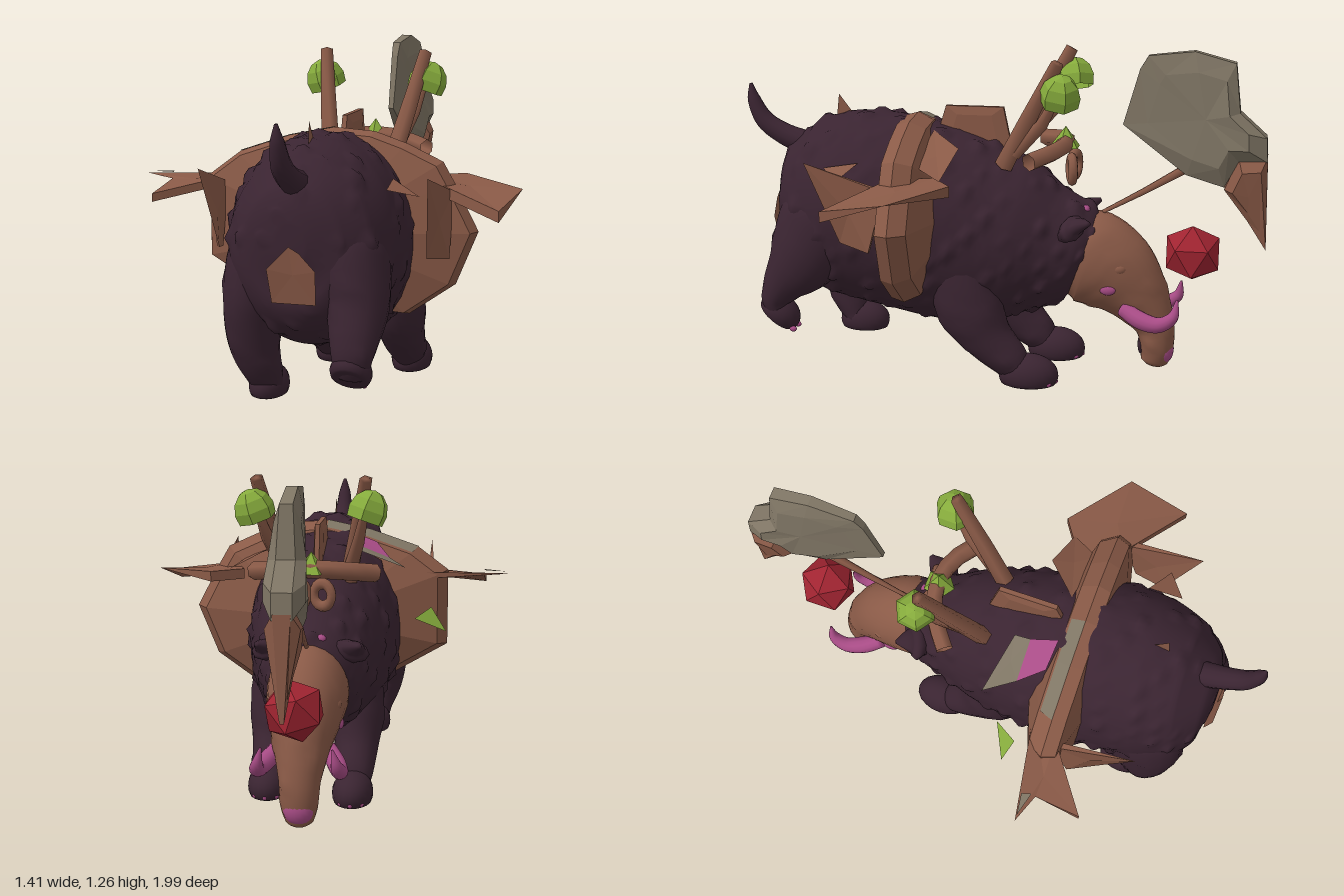
import * as THREE from 'three';

const V = (x, y, z) => new THREE.Vector3(x, y, z);
const CX = 0.02; // mid plane of the animal

export function createModel() {
  const group = new THREE.Group();
  const mat = (name, color) => {
    const m = new THREE.MeshStandardMaterial({ color, side: THREE.DoubleSide });
    m.name = name;
    return m;
  };
  const hide = mat('dark hide', 0x3a2431), brown = mat('brown', 0x8a5a47), grey = mat('stone grey', 0x807665);
  const green = mat('leaf green', 0x86ab3c), red = mat('red', 0xa02431), pink = mat('pink', 0xa84c86);

  const add = (name, geometry, material, pos = [0, 0, 0], scale = [1, 1, 1], rot = [0, 0, 0]) => {
    const m = new THREE.Mesh(geometry, material);
    m.name = name;
    m.position.set(...pos);
    m.scale.set(...scale);
    m.rotation.set(...rot);
    group.add(m);
    return m;
  };

  // Smooth body part swept through stations [x, y, z, halfWidth, halfHeight]
  const loft = (name, st, material, { steps = 24, sides = 20, bump = 0 } = {}) => {
    const path = new THREE.CatmullRomCurve3(st.map(s => V(s[0], s[1], s[2])));
    const radii = new THREE.CatmullRomCurve3(st.map(s => V(s[3], s[4] ?? s[3], 0)));
    const pos = [], idx = [];
    for (let i = 0; i <= steps; i++) {
      const p = path.getPoint(i / steps), T = path.getTangent(i / steps), r = radii.getPoint(i / steps);
      const X = V(1, 0, 0).addScaledVector(T, -T.x).normalize(), N = T.clone().cross(X);
      for (let j = 0; j < sides; j++) {
        const a = j / sides * Math.PI * 2;
        const q = p.clone().addScaledVector(X, Math.cos(a) * Math.max(r.x, 0.002))
          .addScaledVector(N, Math.sin(a) * Math.max(r.y, 0.002));
        // scattered warts: only the peaks of the pattern rise
        const n = Math.sin(q.x * 37 + q.y * 11) * Math.sin(q.y * 41 - q.z * 9) * Math.sin(q.z * 43 + q.x * 13);
        q.addScaledVector(q.clone().sub(p).normalize(), bump * Math.max(0, n - 0.25));
        pos.push(q.x, q.y, q.z);
        if (i < steps) {
          const k = i * sides + j, l = i * sides + (j + 1) % sides;
          idx.push(k, l, k + sides, l, l + sides, k + sides);
        }
      }
    }
    const s = path.getPoint(0), e = path.getPoint(1), c = pos.length / 3;
    pos.push(s.x, s.y, s.z, e.x, e.y, e.z);
    for (let j = 0; j < sides; j++) {
      const l = (j + 1) % sides, o = steps * sides;
      idx.push(c, l, j, c + 1, o + j, o + l);
    }
    const g = new THREE.BufferGeometry();
    g.setAttribute('position', new THREE.Float32BufferAttribute(pos, 3));
    g.setIndex(idx);
    g.computeVertexNormals();
    return add(name, g, material);
  };

  // Faceted solid through rings of corners, closed by fans around the ring centres
  const facet = (name, rings, material) => {
    const pts = [], tri = (...v) => v.forEach(q => pts.push(q.x, q.y, q.z)), n = rings[0].length;
    const centre = r => r.reduce((s, p) => s.add(p), V(0, 0, 0)).divideScalar(n);
    const first = rings[0], last = rings[rings.length - 1], c0 = centre(first), c1 = centre(last);
    for (let j = 0; j < n; j++) {
      const k = (j + 1) % n;
      for (let i = 0; i < rings.length - 1; i++) {
        const A = rings[i], B = rings[i + 1];
        tri(A[j], A[k], B[j]);
        tri(A[k], B[k], B[j]);
      }
      tri(c0, first[k], first[j]);
      if (rings.length > 1) tri(c1, last[j], last[k]);
    }
    const g = new THREE.BufferGeometry();
    g.setAttribute('position', new THREE.Float32BufferAttribute(pts, 3));
    g.computeVertexNormals();
    return add(name, g, material);
  };
  const plate = (name, pts, material) => facet(name, [pts.map(p => V(...p))], material);

  // Upright blade: outline of [z, y, half thickness], thinning to its rim
  const blade = (name, outline, inner, material) => {
    const cz = outline.reduce((s, p) => s + p[0], 0) / outline.length;
    const cy = outline.reduce((s, p) => s + p[1], 0) / outline.length;
    const ring = (f, k) => outline.map(([z, y, t]) => V(CX + 0.005 + t * f, cy + (y - cy) * k, cz + (z - cz) * k));
    return facet(name, [ring(-1, inner), ring(-0.5, 1), ring(0.5, 1), ring(1, inner)], material);
  };
  const ball = (name, p, s, material) => add(name, new THREE.SphereGeometry(1, 18, 12), material, p, s);

  // Rounded foot with a flat sole
  const foot = (name, p, s, pitch = 0) => {
    const g = new THREE.SphereGeometry(1, 20, 14), a = g.attributes.position;
    for (let i = 0; i < a.count; i++) a.setY(i, Math.max(a.getY(i), -0.5));
    g.computeVertexNormals();
    add(name, g, hide, p, s, [pitch, 0, 0]);
  };

  // Body
  loft('body', [
    [0.02, 0.67, 0.865, 0.05, 0.07], [0.02, 0.67, 0.835, 0.17, 0.2], [0.02, 0.66, 0.76, 0.25, 0.3],
    [0.022, 0.64, 0.62, 0.3, 0.36], [0.025, 0.62, 0.45, 0.31, 0.375], [0.02, 0.575, 0.25, 0.3, 0.375],
    [0.02, 0.54, 0.1, 0.28, 0.36], [0.02, 0.52, -0.05, 0.25, 0.32], [0.02, 0.5, -0.17, 0.205, 0.25],
    [0.02, 0.485, -0.28, 0.17, 0.195], [0.02, 0.47, -0.33, 0.13, 0.15],
  ], hide, { steps: 90, sides: 80, bump: 0.028 });
  loft('tail', [[CX, 0.86, 0.77, 0.05], [CX, 0.9, 0.87, 0.042], [CX, 0.95, 0.94, 0.036],
    [CX, 1.03, 0.98, 0.025], [CX, 1.09, 0.99, 0.006]], hide, { sides: 12 });
  plate('rumpPatch', [[0.025, 0.67, 0.889], [-0.055, 0.59, 0.884], [-0.045, 0.47, 0.86],
    [0.11, 0.47, 0.86], [0.115, 0.59, 0.884], [0.06, 0.65, 0.888]], brown);

  // Front legs: both feet planted, the right one further forward
  for (const [x, z] of [[0.2, 0.06], [-0.13, 0]]) {
    loft('frontLeg', [[x * 0.8, 0.54, z + 0.1, 0.03, 0.05], [x * 0.95, 0.46, z + 0.08, 0.095, 0.13], [x, 0.3, z + 0.04, 0.1, 0.13],
      [x, 0.18, z - 0.03, 0.085, 0.095], [x, 0.09, z - 0.12, 0.07, 0.07], [x, 0.05, z - 0.16, 0.055, 0.045]], hide, { bump: 0.01 });
    foot('frontFoot', [x, 0.04, z - 0.185], [0.078, 0.08, 0.115]);
    for (const d of [-0.04, 0, 0.04]) ball('frontClaw', [x + d, 0.018, z - 0.285 + Math.abs(d) * 0.5], [0.01, 0.011, 0.014], pink);
  }

  // Hind legs in stride
  loft('hindLegLeft', [[0.12, 0.72, 0.62, 0.04, 0.05], [0.17, 0.6, 0.67, 0.14, 0.17], [0.22, 0.45, 0.745, 0.11, 0.135],
    [0.23, 0.35, 0.82, 0.085, 0.08], [0.23, 0.29, 0.845, 0.07, 0.055], [0.225, 0.23, 0.83, 0.055, 0.04]], hide, { bump: 0.01 });
  foot('hindFootLeft', [0.225, 0.245, 0.835], [0.072, 0.06, 0.085], -0.7);
  for (const d of [-0.03, 0.03]) ball('hindClaw', [0.225 + d, 0.185, 0.778], [0.01, 0.011, 0.014], pink);
  loft('hindLegRight', [[-0.08, 0.7, 0.6, 0.04, 0.05], [-0.13, 0.58, 0.63, 0.14, 0.18], [-0.17, 0.4, 0.67, 0.11, 0.14],
    [-0.17, 0.27, 0.68, 0.09, 0.085], [-0.15, 0.17, 0.65, 0.07, 0.065], [-0.145, 0.11, 0.62, 0.06, 0.04]], hide, { bump: 0.01 });
  foot('hindFootRight', [-0.145, 0.11, 0.6], [0.07, 0.075, 0.1]);

  // Head with drooping trunk
  loft('head', [[CX, 0.48, -0.25, 0.13, 0.15], [CX, 0.46, -0.34, 0.15, 0.185], [CX, 0.4, -0.44, 0.135, 0.165],
    [CX, 0.3, -0.53, 0.1, 0.115], [CX, 0.2, -0.585, 0.075, 0.075], [CX, 0.11, -0.595, 0.066, 0.062], [CX, 0.06, -0.588, 0.05, 0.05],
    [CX, 0.045, -0.585, 0.03, 0.03]], brown, { steps: 35, sides: 28, bump: 0.008 });
  ball('snoutTip', [CX, 0.108, -0.618], [0.056, 0.058, 0.042], pink);
  ball('snoutUnderside', [CX, 0.125, -0.533], [0.027, 0.04, 0.012], hide);
  for (const s of [-1, 1]) {
    const x = d => CX + s * d;
    loft('tusk', [[x(0.09), 0.29, -0.47, 0.03], [x(0.125), 0.258, -0.54, 0.034], [x(0.145), 0.25, -0.61, 0.03],
      [x(0.14), 0.28, -0.66, 0.022], [x(0.125), 0.345, -0.675, 0.004]], pink, { sides: 12 });
    ball('cheek', [x(0.127), 0.37, -0.415], [0.013, 0.02, 0.03], pink);
    ball('eye', [x(0.112), 0.45, -0.45], [0.024, 0.025, 0.035], brown);
    loft('ear', [[x(0.13), 0.58, -0.25, 0.05, 0.03], [x(0.16), 0.62, -0.3, 0.05, 0.03], [x(0.19), 0.64, -0.35, 0.008]], hide, { sides: 10 });
    ball('crownBead', [x(0.045), 0.658, -0.32], [0.02, 0.016, 0.016], pink);
  }

  // Wide saddle band standing off the flanks
  const outline = [[-0.46, 0.81], [-0.34, 0.9], [-0.15, 0.965], [0.02, 1], [0.17, 0.99], [0.29, 0.95], [0.42, 0.89], [0.46, 0.82],
    [0.55, 0.645], [0.47, 0.45], [0.3, 0.33], [-0.22, 0.37], [-0.46, 0.51]];
  const bandRing = (z, k) => outline.map(([x, y]) => V(0.03 + (x - 0.03) * k, 0.64 + (y - 0.64) * k, z));
  facet('saddleBand', [bandRing(0.21, 0.55), bandRing(0.27, 0.92), bandRing(0.33, 1), bandRing(0.38, 0.96), bandRing(0.43, 0.55)], brown);
  const streakLow = bandRing(0.278, 0.942), streakHigh = bandRing(0.33, 1.007);
  for (const i of [1, 2])
    facet('saddleStreak', [[streakLow[i], streakLow[i + 1], streakHigh[i + 1], streakHigh[i]]], grey);

  // Side wings, rear-pointing shards and loose plates
  facet('wingLeft', [0.82, 0.78].map(y => [V(0.34, y, 0.2), V(0.46, y, 0.12), V(0.7, 0.8, 0.3), V(0.66, y - 0.06, 0.54), V(0.4, y, 0.36)]), brown);
  facet('wingRight', [0.81, 0.78].map(y => [V(-0.3, y, 0.25), V(-0.71, 0.8, 0.32), V(-0.6, 0.79, 0.36), V(-0.61, y - 0.05, 0.53), V(-0.38, y, 0.36)]), brown);
  plate('wingTip', [[-0.69, 0.808, 0.32], [-0.61, 0.812, 0.31], [-0.6, 0.812, 0.345]], grey);
  for (const [x, s] of [[0.44, 1], [-0.38, -1]])
    facet('sideShard', [0, 0.025].map(d => [V(x, 0.88, 0.66), V(x + s * d, 0.79, 0.36), V(x + s * d, 0.56, 0.42), V(x - s * 0.03, 0.58, 0.54)]), brown);
  plate('shoulderPlate', [[0.11, 0.95, 0.25], [0.24, 0.91, 0.13], [0.4, 0.82, 0.17], [0.33, 0.86, 0.28]], brown);
  plate('hipShard', [[0.28, 0.85, 0.5], [0.39, 0.8, 0.56], [0.29, 0.83, 0.63]], brown);
  plate('backThorn', [[CX, 1.06, 0.64], [CX, 0.97, 0.65], [CX, 0.98, 0.58]], brown);
  plate('greyPatch', [[-0.31, 0.86, 0.05], [-0.09, 0.93, 0.1], [-0.09, 0.94, 0.16], [-0.24, 0.88, 0.16]], grey);
  plate('pinkPatch', [[-0.24, 0.88, 0.16], [-0.09, 0.94, 0.16], [-0.07, 0.97, 0.26], [-0.18, 0.93, 0.25]], pink);
  plate('looseLeaf', [[-0.46, 0.59, 0.18], [-0.34, 0.65, 0.12], [-0.4, 0.68, 0.21]], green);
  blade('backFin', [[0.22, 1.03, 0.018], [0, 1.03, 0.018], [-0.04, 0.84, 0.018], [0.26, 0.9, 0.018]], 0.6, brown);

  // Branches with leaf clumps and a crossbar
  for (const s of [-1, 1]) {
    const x = d => CX + s * d;
    loft('branch', [[x(0.12), 0.83, -0.02, 0.036], [x(0.16), 1.02, -0.12, 0.032], [x(0.2), 1.23, -0.23, 0.025]], brown, { sides: 5, steps: 2 });
    loft('sideBranch', [[x(0.13), 0.88, -0.06, 0.028], [x(0.17), 1.0, -0.17, 0.024], [x(0.2), 1.13, -0.24, 0.014]], brown, { sides: 5, steps: 2 });
    const cap = new THREE.SphereGeometry(0.085, 6, 4, 0, Math.PI * 2, 0, Math.PI * 0.62).toNonIndexed();
    cap.computeVertexNormals();
    add('leafClump', cap, green, [x(0.205), 1.11, -0.24], [0.9, 1, 0.9], [0, 0.4, -s * 0.35]);
    add('hangingRing', new THREE.TorusGeometry(0.035, 0.018, 8, 18), brown, [x(0.045), 0.81, -0.265], [1, 1.2, 1], [0, s * 0.3, 0]);
  }
  const bar = new THREE.CatmullRomCurve3([V(-0.21, 0.87, -0.13), V(-0.1, 0.89, -0.21), V(0.02, 0.9, -0.24), V(0.14, 0.89, -0.21), V(0.25, 0.87, -0.13)]);
  add('crossbar', new THREE.TubeGeometry(bar, 8, 0.034, 6), brown);
  const leaf = new THREE.ConeGeometry(0.06, 0.08, 5).toNonIndexed();
  leaf.computeVertexNormals();
  add('middleLeaf', leaf, green, [CX, 0.925, -0.235]);

  // Stone hook on a thin stalk, with a red ball below
  loft('stalk', [[CX, 0.64, -0.38, 0.008], [CX, 0.73, -0.54, 0.013], [CX, 0.84, -0.72, 0.02]], brown, { sides: 6, steps: 4 });
  blade('stoneHead', [[-0.45, 0.98, 0.02], [-0.51, 1.19, 0.025], [-0.54, 1.24, 0.03], [-0.71, 1.26, 0.04], [-0.86, 1.22, 0.045],
    [-0.88, 1.04, 0.065], [-0.98, 0.95, 0.07], [-0.985, 0.86, 0.07], [-0.88, 0.86, 0.07], [-0.83, 0.76, 0.06], [-0.69, 0.8, 0.05]], 0.7, grey);
  blade('hookTip', [[-0.985, 0.88, 0.06], [-0.99, 0.52, 0.015], [-0.92, 0.63, 0.03], [-0.83, 0.75, 0.05], [-0.88, 0.87, 0.06]], 0.65, brown);
  add('redBall', new THREE.IcosahedronGeometry(0.115, 0), red, [CX, 0.495, -0.72], [1, 1, 1], [0, 0, 0.3]);

  return group;
}
